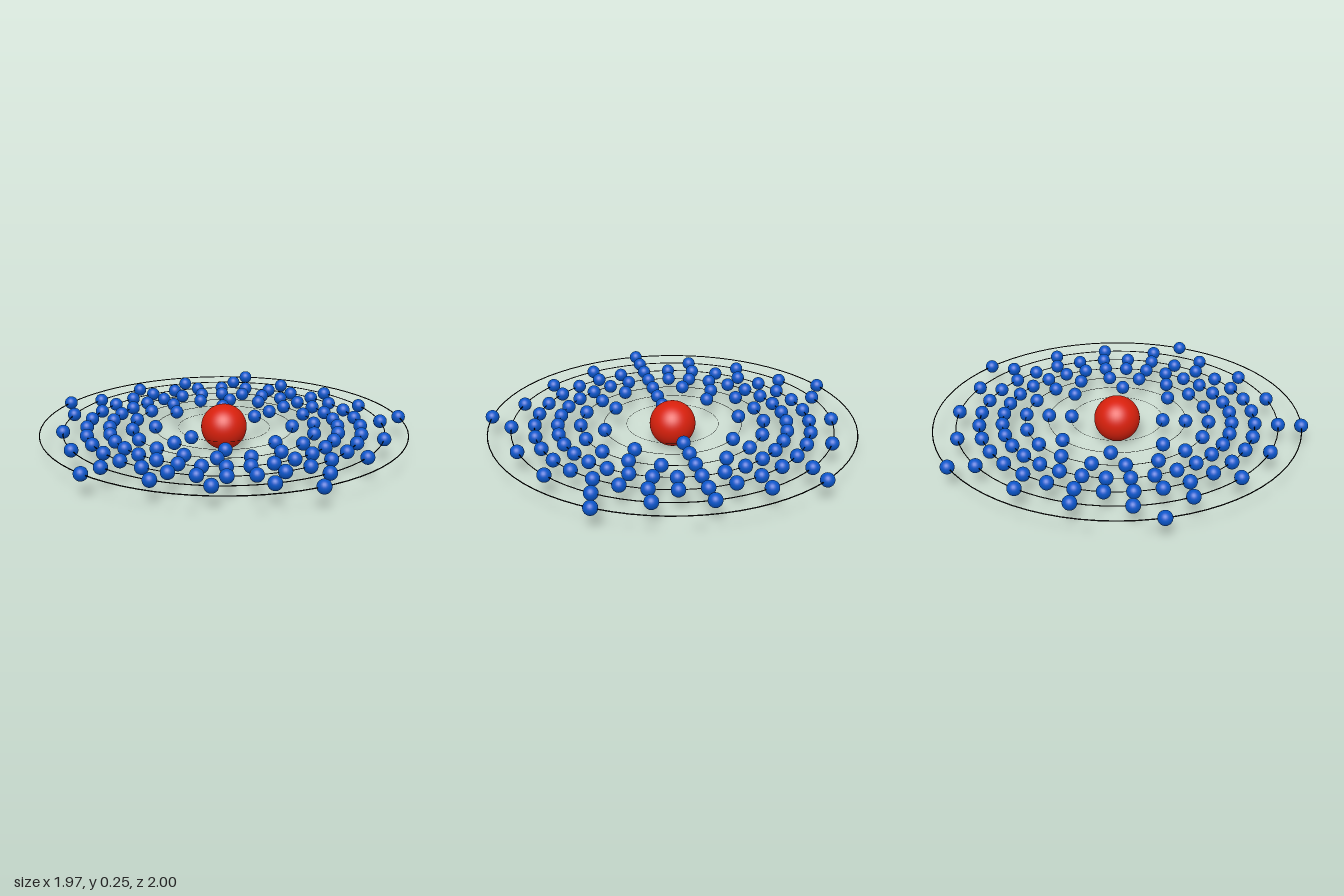
import * as THREE from 'three';

const UNIT = 0.1227;                         // nucleus radius and spacing of the orbits
const CENTRE = [0, UNIT, -0.0184];
const SHELLS = [2, 8, 18, 32, 32, 18, 5];    // electrons per orbit, inside to outside

export function createModel() {
  const model = new THREE.Group();
  model.name = 'atomModel';
  const red = new THREE.MeshStandardMaterial({ color: 0xd8200c });
  const blue = new THREE.MeshStandardMaterial({ color: 0x0a55c8 });
  const black = new THREE.MeshStandardMaterial({ color: 0x000000 });

  const atom = new THREE.Group();
  atom.name = 'atom';
  atom.position.set(...CENTRE);
  model.add(atom);

  const add = (parent, name, geometry, material) => {
    const mesh = new THREE.Mesh(geometry, material);
    mesh.name = name;
    parent.add(mesh);
    return mesh;
  };

  // Central ball
  add(atom, 'nucleus', new THREE.SphereGeometry(UNIT, 48, 32), red);

  // Flat concentric orbits, each with evenly spaced electrons starting at the front
  const electronGeometry = new THREE.SphereGeometry(0.3 * UNIT, 24, 16);
  SHELLS.forEach((count, i) => {
    const radius = (i + 2) * UNIT;
    const shell = new THREE.Group();
    shell.name = `shell${i + 1}`;
    atom.add(shell);

    // Wire gets thicker towards the outside
    const orbit = add(shell, 'orbit', new THREE.TorusGeometry(radius, 0.003 * radius, 6, 72), black);
    orbit.rotation.x = Math.PI / 2;

    for (let k = 0; k < count; k++) {
      const angle = (k / count) * Math.PI * 2;
      const electron = add(shell, 'electron', electronGeometry, blue);
      electron.position.set(Math.sin(angle) * radius, 0, Math.cos(angle) * radius);
    }
  });

  return model;
}
